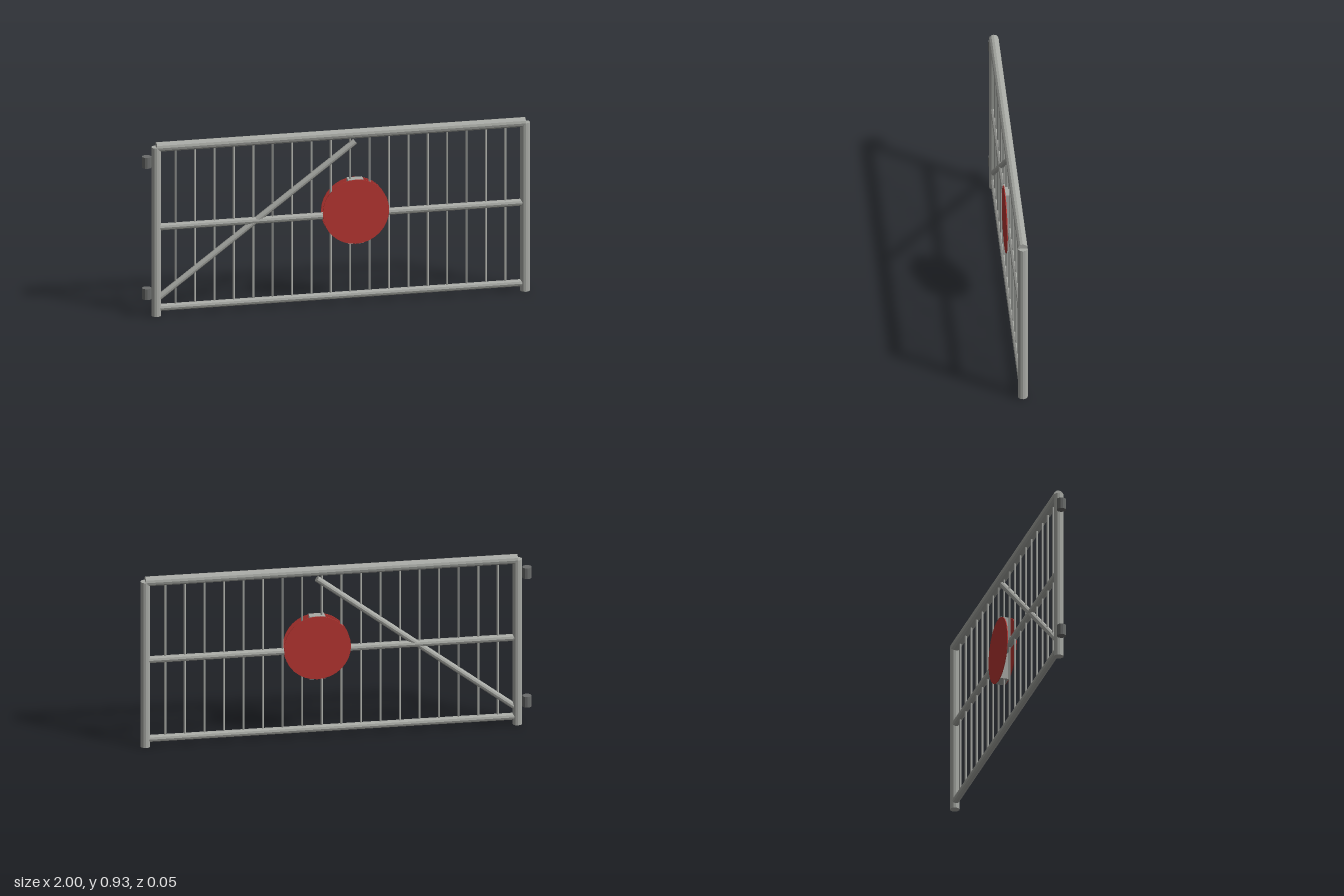
import * as THREE from 'three';

export function createModel() {
  const gate = new THREE.Group();
  gate.name = 'gate';
  const mat = (name, color) => {
    const m = new THREE.MeshStandardMaterial({ color, flatShading: true });
    m.name = name;
    return m;
  };
  const steel = mat('galvanised steel', 0xa9aba6);
  const dark = mat('dark hinge steel', 0x6a6c6b);
  const red = mat('sign red', 0xb83632);

  const add = (name, geometry, material, x, y, z = 0) => {
    const mesh = new THREE.Mesh(geometry, material);
    mesh.name = name;
    mesh.position.set(x, y, z);
    gate.add(mesh);
    return mesh;
  };
  // Round tube between two points in the plane of the gate
  const tube = (name, x0, y0, x1, y1, r, sides, material = steel) => {
    const dx = x1 - x0, dy = y1 - y0;
    const geometry = new THREE.CylinderGeometry(r, r, Math.hypot(dx, dy), sides);
    const mesh = add(name, geometry, material, (x0 + x1) / 2, (y0 + y1) / 2);
    mesh.rotation.z = Math.atan2(-dx, dy);
    return mesh;
  };

  const left = -0.927, right = 0.975;

  // Frame
  tube('hingePost', left, 0, left, 0.9, 0.025, 12);
  tube('latchPost', right, 0, right, 0.9, 0.025, 12);
  tube('topRail', left, 0.9, right, 0.9, 0.025, 12);
  tube('middleRail', left, 0.472, right, 0.472, 0.018, 10);
  tube('bottomRail', left, 0.042, right, 0.042, 0.018, 10);
  tube('diagonalBrace', left, 0.085, 0.098, 0.858, 0.016, 10);

  // Upright bars
  for (let i = 1; i <= 18; i++) {
    const x = left + i * 0.1;
    tube('bar', x, 0.042, x, 0.9, 0.0058, 6);
  }

  // Hinges
  for (const y of [0.122, 0.824]) {
    tube('hinge', -0.976, y - 0.029, -0.976, y + 0.029, 0.024, 12, dark);
  }

  // Round sign on both faces, with its mounting block
  add('signBlock', new THREE.BoxGeometry(0.08, 0.342, 0.044), steel, 0.098, 0.49);
  for (const side of [1, -1]) {
    const disc = add('signDisc', new THREE.CylinderGeometry(0.171, 0.171, 0.004, 32), red, 0.098, 0.49, side * 0.0235);
    disc.rotation.x = Math.PI / 2;
  }
  return gate;
}
